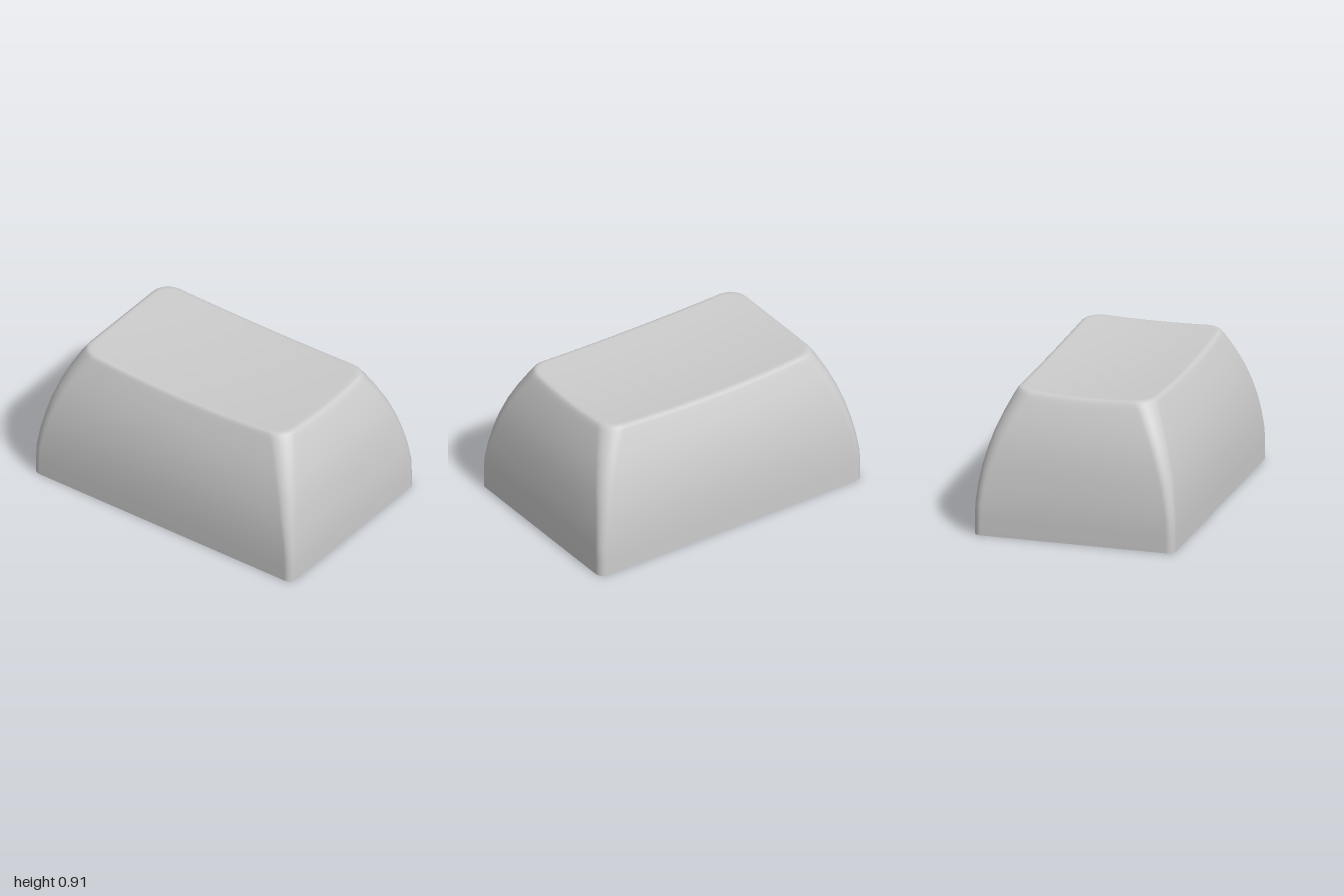
import * as THREE from 'three';

const ARC = 8, EDGE = 12;

// Dished top: lowest in the centre, highest at the corners
const dish = (x, z) => 0.87 + 0.047 * x * x + 0.095 * z * z;

// Rounded rectangle outline with gently bowed sides, as [x, z] pairs
function outline(hx, hz, r, bow) {
  const pts = [];
  const corners = [[1, 1], [-1, 1], [-1, -1], [1, -1]];
  const arcPoint = (c, k) => {
    const a = (c + k / ARC) * Math.PI / 2;
    return [corners[c][0] * (hx - r) + r * Math.cos(a), corners[c][1] * (hz - r) + r * Math.sin(a)];
  };
  for (let c = 0; c < 4; c++) {
    for (let k = 0; k <= ARC; k++) pts.push(arcPoint(c, k));
    const p = arcPoint(c, ARC), q = arcPoint((c + 1) % 4, 0);
    for (let k = 1; k < EDGE; k++) {
      const t = k / EDGE;
      pts.push([p[0] + (q[0] - p[0]) * t, p[1] + (q[1] - p[1]) * t]);
    }
  }
  // Pull the corners in so the middle of each side stands proud
  return pts.map(([x, z]) => [x - bow * (x / hx) * (z / hz) ** 2, z - bow * (z / hz) * (x / hx) ** 2]);
}

function meshFrom(name, positions, index) {
  const geo = new THREE.BufferGeometry();
  geo.setAttribute('position', new THREE.Float32BufferAttribute(positions, 3));
  geo.setIndex(index);
  geo.computeVertexNormals();
  const mesh = new THREE.Mesh(geo, new THREE.MeshStandardMaterial({ color: 0xcccccc }));
  mesh.name = name;
  return mesh;
}

export function createModel() {
  const group = new THREE.Group();
  group.name = 'keycap';

  // Wall sections: height, half width, half depth, corner radius, bow
  const sections = [
    [0, 1, 0.655, 0.05, 0],
    [0.1, 1, 0.655, 0.05, 0],
    [0.2, 0.999, 0.654, 0.052, 0.001],
    [0.32, 0.987, 0.645, 0.06, 0.004],
    [0.43, 0.97, 0.63, 0.07, 0.007],
    [0.54, 0.95, 0.605, 0.08, 0.01],
    [0.65, 0.918, 0.573, 0.09, 0.012],
    [0.76, 0.877, 0.53, 0.1, 0.014],
    [0.86, 0.832, 0.486, 0.11, 0.015],
    [0.89, 0.816, 0.472, 0.115, 0.015],
    [0.907, 0.806, 0.464, 0.115, 0.015],
    [0.917, 0.794, 0.453, 0.11, 0.015],
  ];
  const positions = [], index = [];
  let rings = 0;
  const addRing = (pts, height) => {
    for (const [x, z] of pts) positions.push(x, height(x, z), z);
    rings++;
  };

  // Curved walls, whose upper sections follow the dished rim
  for (const [y, hx, hz, r, bow] of sections) {
    addRing(outline(hx, hz, r, bow), (x, z) => y + (dish(x, z) - 0.92) * (y / 0.917) ** 4);
  }
  // Dished top, closing to the centre
  const rim = outline(0.778, 0.437, 0.105, 0.015);
  for (const s of [1, 0.97, 0.85, 0.7, 0.55, 0.4, 0.25, 0.1, 0]) {
    addRing(rim.map(([x, z]) => [x * s, z * s]), dish);
  }
  const n = rim.length;
  for (let i = 0; i < rings - 1; i++) {
    for (let j = 0; j < n; j++) {
      const k = (j + 1) % n;
      const a = i * n + j, b = i * n + k;
      index.push(b, a, a + n, b, a + n, b + n);
    }
  }
  group.add(meshFrom('capBody', positions, index));

  // Flat underside
  const base = [0, 0, 0], fan = [];
  outline(1, 0.655, 0.05, 0).forEach(([x, z], j) => {
    base.push(x, 0, z);
    fan.push(0, j + 1, ((j + 1) % n) + 1);
  });
  group.add(meshFrom('underside', base, fan));
  return group;
}
